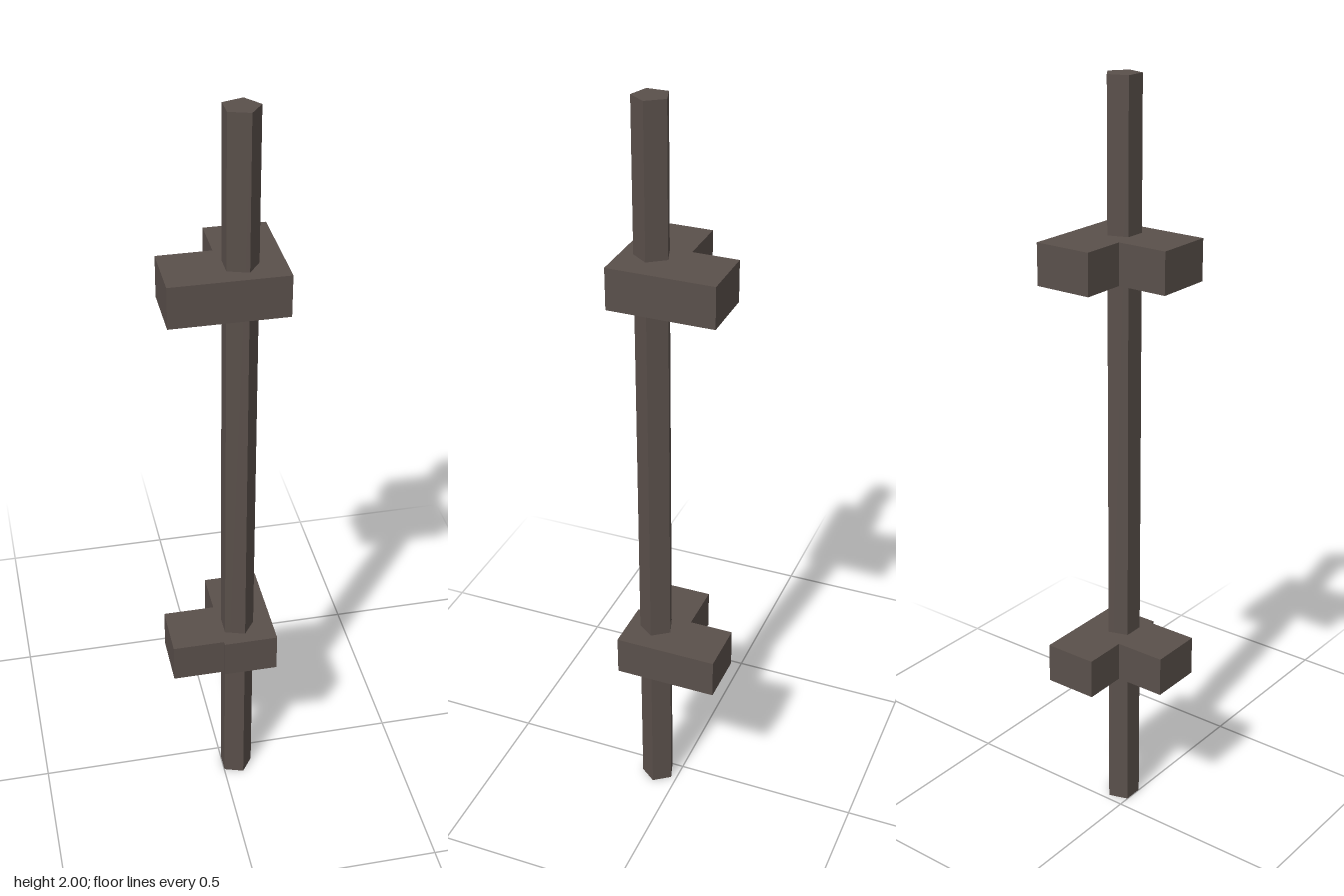
import * as THREE from 'three';

const darkWood = new THREE.MeshStandardMaterial({ color: 0x5a504b });
darkWood.name = 'darkWood';
const THICKNESS = 0.107;

// Flat slab from an outline of [x, z] points, hanging down from its top height
function slab(name, outline, top) {
  const shape = new THREE.Shape(outline.map(([x, z]) => new THREE.Vector2(x, z)));
  const geometry = new THREE.ExtrudeGeometry(shape, { depth: THICKNESS, bevelEnabled: false });
  geometry.rotateX(Math.PI / 2);
  const mesh = new THREE.Mesh(geometry, darkWood);
  mesh.name = name;
  mesh.position.y = top;
  return mesh;
}

export function createModel() {
  const model = new THREE.Group();
  model.name = 'bracketedPole';

  // Five-sided pole with one corner towards +x
  const poleGeometry = new THREE.CylinderGeometry(0.046, 0.046, 2, 5, 1, false, Math.PI / 2).toNonIndexed();
  poleGeometry.computeVertexNormals();
  const pole = new THREE.Mesh(poleGeometry, darkWood);
  pole.name = 'pole';
  pole.position.set(0.038, 1, 0.059);
  model.add(pole);

  // Upper L-shaped bracket with flush outer faces
  model.add(slab('upperBracket', [
    [-0.146, -0.02], [-0.01, -0.02], [-0.01, -0.138],
    [0.145, -0.138], [0.145, 0.135], [-0.146, 0.135],
  ], 1.62));

  // Lower L-shaped bracket, its side arm set slightly back from the front
  model.add(slab('lowerBracket', [
    [-0.146, -0.02], [-0.01, -0.02], [-0.01, -0.138], [0.133, -0.138],
    [0.133, 0.135], [-0.01, 0.135], [-0.01, 0.124], [-0.146, 0.124],
  ], 0.529));

  return model;
}
